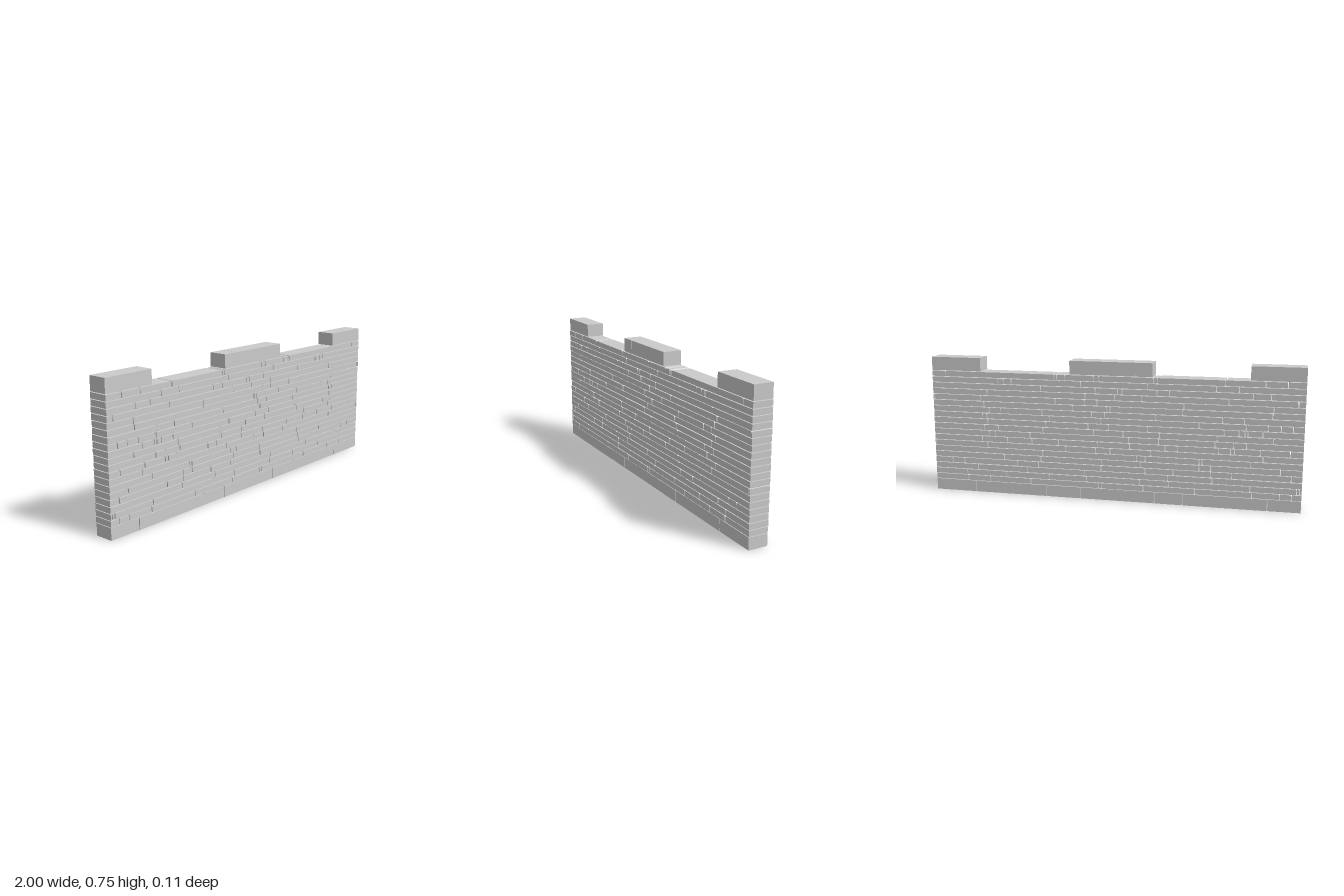
import * as THREE from 'three';

const material = new THREE.MeshStandardMaterial({ color: 0xcccccc, flatShading: true });

// Positions of the upright joints in each thin course, bottom to top
const LOWER_COURSES = [
  [-0.95, -0.89, -0.75, -0.455, -0.18, 0.045, 0.065, 0.445, 0.68, 0.81],
  [-0.99, -0.975, -0.74, -0.315, -0.16, 0.13, 0.34, 0.585, 0.815],
  [-0.545, -0.31, 0.14, 0.465, 0.75],
  [-0.945, -0.645, -0.535, -0.34, -0.19, 0.05, 0.4, 0.52, 0.83, 0.9],
  [-0.89, -0.535, -0.475, -0.165, 0.045, 0.385, 0.595],
  [-0.74, -0.49, -0.475, -0.19, -0.145, 0.375],
  [-0.8, -0.22, 0, 0.08, 0.245, 0.69, 0.993],
  [-0.935, -0.785, -0.655, -0.635, -0.575, -0.36, -0.295, -0.105, 0.07, 0.285, 0.435, 0.575, 0.72],
  [-0.715, -0.65, -0.555, -0.26, -0.1, 0.445, 0.645, 0.68],
];
const UPPER_COURSES = [
  [-0.85, -0.565, -0.265, -0.07, 0.09, 0.37, 0.625, 0.705],
  [-0.795, -0.72, -0.705, -0.675, -0.6, -0.2, 0.01, 0.12, 0.355, 0.685],
  [-0.945, -0.885, -0.82, -0.71, -0.47, 0.05, 0.335, 0.69, 0.715],
  [-0.7, -0.59, -0.245, 0.03, 0.1, 0.375, 0.61, 0.675],
  [-0.84, -0.385, 0, 0.02, 0.205, 0.705],
  [-0.845, -0.39, 0.07, 0.14, 0.3, 0.725, 0.993],
  [-0.965, -0.62, -0.17, -0.025, 0.135, 0.685],
  [-0.83, -0.74, -0.315, -0.25, -0.065, -0.04, 0.08, 0.38],
  [-0.67, -0.555, -0.2, 0.16, 0.545, 0.59, 0.62],
  [-0.91, -0.8, -0.6, -0.25, -0.23, 0.06, 0.09, 0.245, 0.29, 0.305, 0.925],
];
const BASE_JOINTS = [-0.83, -0.39, -0.24, 0.165, 0.355, 0.765];

// Small seeded generator for the uneven stone faces
let seed = 7;
const rand = () => (seed = (seed * 16807) % 2147483647) / 2147483647;

// Stone block; cutL and cutR trim the corners of its left and right ends
function stone(name, x0, x1, y0, y1, halfDepth, cutL = 0, cutR = 0) {
  const pts = [];
  const corner = (x, y, dx, dy, first) => {
    if (!dx) pts.push([x, y]);
    else if (first) pts.push([x, y + dy], [x + dx, y]);
    else pts.push([x + dx, y], [x, y + dy]);
  };
  corner(x0, y0, cutL, cutL * 1.5, true);
  corner(x1, y0, -cutR, cutR * 1.5, false);
  corner(x1, y1, -cutR, -cutR * 1.5, true);
  corner(x0, y1, cutL, -cutL * 1.5, false);
  const shape = new THREE.Shape(pts.map(([x, y]) => new THREE.Vector2(x, y)));
  const geometry = new THREE.ExtrudeGeometry(shape, { depth: halfDepth * 2, bevelEnabled: false });
  geometry.translate(0, 0, -halfDepth);
  const mesh = new THREE.Mesh(geometry, material);
  mesh.name = name;
  return mesh;
}

// Row of stones between the wall ends, split at the given joints
function course(name, joints, y0, y1, gap, cut, uneven) {
  const row = new THREE.Group();
  row.name = name;
  const xs = [-1, ...joints, 1];
  for (let i = 0; i < xs.length - 1; i++) {
    const first = i === 0, last = i === xs.length - 2;
    const x0 = xs[i] + (first ? 0 : gap / 2);
    const x1 = xs[i + 1] - (last ? 0 : gap / 2);
    const trim = Math.min(cut, (x1 - x0) / 4);
    row.add(stone('stone', x0, x1, y0, y1, 0.05 + uneven * rand(), first ? 0 : trim, last ? 0 : trim));
  }
  return row;
}

export function createModel() {
  const wall = new THREE.Group();
  wall.name = 'stoneWall';

  // Tall footing stones
  wall.add(course('baseCourse', BASE_JOINTS, 0, 0.061, 0.003, 0, 0.0015));

  // Thin stacked courses with open joints
  const pitch = 0.0322;
  [...LOWER_COURSES, ...UPPER_COURSES].forEach((joints, i) => {
    const y = 0.064 + i * pitch;
    wall.add(course('thinCourse', joints, y, y + pitch - 0.0035, 0.004, 0.003, 0.003));
  });

  // Raised cap blocks: both ends and a pair in the middle
  const caps = new THREE.Group();
  caps.name = 'capBlocks';
  for (const [x0, x1] of [[-1, -0.725], [-0.225, -0.136], [-0.134, 0.22], [0.72, 1]]) {
    caps.add(stone('capBlock', x0, x1, 0.676, 0.748, 0.05));
  }
  wall.add(caps);
  return wall;
}
